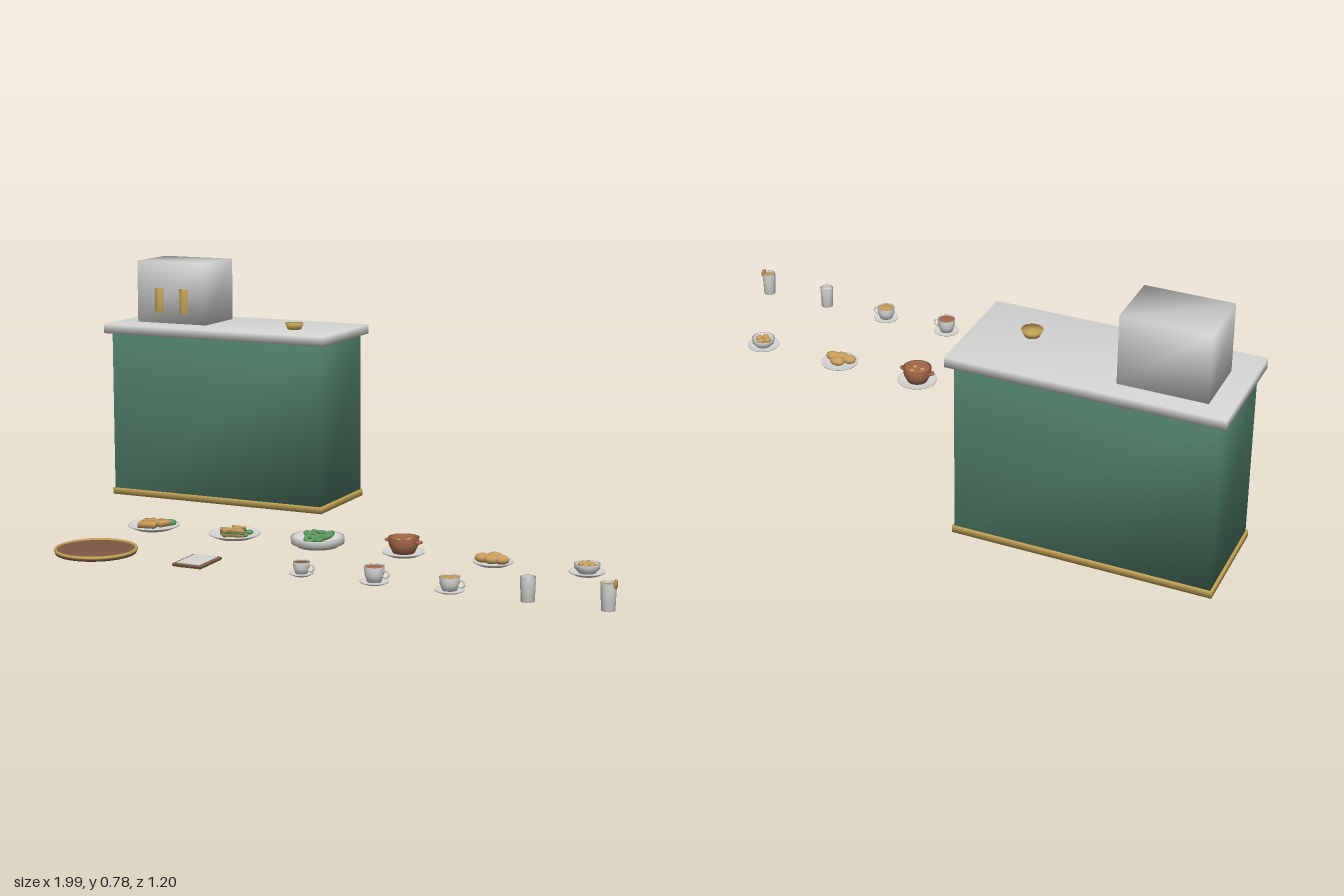
import * as THREE from 'three';
import { mergeVertices } from 'three/addons/utils/BufferGeometryUtils.js';

const mat = (name, color, side = THREE.FrontSide) => {
  const m = new THREE.MeshStandardMaterial({ color, side });
  m.name = name;
  return m;
};

export function createModel() {
  const root = new THREE.Group();
  root.name = 'cafeCounterSet';
  const green = mat('counterGreen', 0x4f7d68);
  const white = mat('porcelainWhite', 0xd6d6d4, THREE.DoubleSide);
  const brass = mat('brass', 0xc2a257);
  const wood = mat('walnut', 0x7d5a43);
  const terracotta = mat('terracotta', 0xa5694a, THREE.DoubleSide);
  const leaf = mat('leafGreen', 0x5f9c62);
  const bread = mat('toast', 0xc79d5c);

  // Welds corners so shading runs smoothly across every edge
  const soft = (geo) => {
    geo.deleteAttribute('normal');
    geo.deleteAttribute('uv');
    const g = mergeVertices(geo, 1e-5);
    g.computeVertexNormals();
    return g;
  };
  const add = (parent, name, geo, m, x = 0, y = 0, z = 0) => {
    const mesh = new THREE.Mesh(geo, m);
    mesh.name = name;
    mesh.position.set(x, y, z);
    parent.add(mesh);
    return mesh;
  };
  const box = (parent, name, m, w, h, d, x, y, z) =>
    add(parent, name, soft(new THREE.BoxGeometry(w, h, d)), m, x, y + h / 2, z);
  const drum = (parent, name, m, rt, rb, h, x, y, z, n = 24) =>
    add(parent, name, soft(new THREE.CylinderGeometry(rt, rb, h, n)), m, x, y + h / 2, z);
  const ball = (parent, name, m, r, x, y, z, sy = 1) => {
    const b = add(parent, name, new THREE.SphereGeometry(r, 14, 10), m, x, y, z);
    b.scale.y = sy;
    return b;
  };
  const lathe = (parent, name, m, pts, y = 0) =>
    add(parent, name, new THREE.LatheGeometry(pts.map(p => new THREE.Vector2(...p)), 28), m, 0, y, 0);
  const group = (name, x, z) => {
    const g = new THREE.Group();
    g.name = name;
    g.position.set(x, 0, z);
    root.add(g);
    return g;
  };
  // Shallow plate and open bowl, both with wall thickness
  const plate = (g, name, r, h = 0.014) => lathe(g, name, white,
    [[0, 0], [r * 0.7, 0], [r, h - 0.003], [r, h], [r * 0.94, h], [r * 0.68, 0.006], [0, 0.006]]);
  const bowl = (g, name, m, rt, rb, h, y) => lathe(g, name, m,
    [[0, 0], [rb, 0], [rt * 0.95, h * 0.5], [rt, h], [rt * 0.9, h], [rt * 0.82, h * 0.5], [rb * 0.8, 0.004], [0, 0.004]], y);

  // Counter
  const counter = group('counter', -0.6, -0.423);
  box(counter, 'counterBody', green, 0.76, 0.546, 0.315, 0, 0, 0);
  box(counter, 'counterBaseTrim', brass, 0.772, 0.021, 0.326, 0, 0.0005, 0);
  box(counter, 'counterTop', white, 0.8, 0.03, 0.358, 0, 0.545, 0);

  // Coffee machine with two brass handles
  const machine = group('coffeeMachine', -0.803, -0.446);
  box(machine, 'machineBody', white, 0.256, 0.204, 0.19, 0, 0.575, 0);
  for (const s of [-1, 1])
    drum(machine, 'machineHandle', brass, 0.02, 0.02, 0.08, s * 0.046, 0.611, 0.084, 16);

  // Counter bell dish
  const dish = group('brassDish', -0.37, -0.39);
  drum(dish, 'dishBowl', brass, 0.031, 0.022, 0.02, 0, 0.575, 0);

  // Toast plate
  const toast = group('toastPlate', -0.603, 0.135);
  plate(toast, 'plate', 0.08);
  box(toast, 'toastSlice', bread, 0.055, 0.016, 0.05, -0.012, 0.007, 0.012).rotation.y = 0.15;
  box(toast, 'toastSlice', bread, 0.045, 0.016, 0.04, 0.022, 0.01, -0.008).rotation.y = -0.4;
  box(toast, 'toastSlice', bread, 0.035, 0.016, 0.03, -0.024, 0.008, -0.02).rotation.y = 0.5;
  const curl = add(toast, 'herbCurl', new THREE.TorusGeometry(0.017, 0.007, 8, 18), leaf, 0.035, 0.016, -0.032);
  curl.rotation.x = Math.PI / 2;

  // Sandwich plate
  const sandwich = group('sandwichPlate', -0.32, 0.135);
  plate(sandwich, 'plate', 0.08);
  [[-0.018, 0.018, 0.2], [0.018, 0.014, 1.2], [0, -0.016, 2.1]].forEach(([x, z, a]) => {
    drum(sandwich, 'breadWedge', bread, 0.029, 0.029, 0.01, x, 0.007, z, 3).rotation.y = a;
    drum(sandwich, 'sandwichFilling', leaf, 0.03, 0.03, 0.005, x, 0.016, z, 3).rotation.y = a;
    drum(sandwich, 'breadWedge', bread, 0.028, 0.028, 0.009, x, 0.02, z, 3).rotation.y = a;
  });
  ball(sandwich, 'herb', leaf, 0.012, 0.038, 0.014, -0.025, 0.6);
  ball(sandwich, 'herb', leaf, 0.01, 0.044, 0.014, 0.015, 0.6);

  // Salad bowl
  const salad = group('saladBowl', -0.04, 0.135);
  lathe(salad, 'bowl', white,
    [[0, 0], [0.062, 0], [0.066, 0.008], [0.08, 0.01], [0.081, 0.03], [0.075, 0.03], [0.066, 0.014], [0, 0.012]]);
  for (let i = 0; i < 9; i++) {
    const a = i * 2.4, r = 0.015 * Math.sqrt(i);
    const l = add(salad, 'saladLeaf', new THREE.TorusGeometry(0.012, 0.007, 7, 12), leaf,
      r * Math.cos(a), 0.028 + 0.004 * (i % 3), r * Math.sin(a));
    l.rotation.set(Math.PI / 2 + 0.4 * Math.sin(a), 0.4 * Math.cos(a), 0);
  }

  // Soup bowl on a saucer
  const soup = group('soupBowl', 0.24, 0.135);
  plate(soup, 'saucer', 0.063, 0.012);
  bowl(soup, 'bowl', terracotta, 0.046, 0.032, 0.047, 0.008);
  drum(soup, 'soup', terracotta, 0.041, 0.038, 0.004, 0, 0.043, 0);
  [[-0.014, 0.008], [0.012, -0.012], [0.014, 0.013]].forEach(([x, z]) =>
    ball(soup, 'crouton', bread, 0.007, x, 0.047, z, 0.5));
  for (const s of [-1, 1])
    add(soup, 'bowlHandle', new THREE.TorusGeometry(0.009, 0.004, 8, 14), terracotta, s * 0.047, 0.043, 0)
      .rotation.x = Math.PI / 2;

  // Plate of rolls
  const rolls = group('rollPlate', 0.52, 0.135);
  plate(rolls, 'plate', 0.06, 0.012);
  [[-0.028, 0.01], [0.028, 0.01], [0, -0.016], [0, 0.016]].forEach(([x, z]) => {
    const b = ball(rolls, 'breadRoll', bread, 0.019, x, 0.02, z, 0.75);
    b.scale.x = 1.3;
  });

  // Dessert bowl on a saucer
  const dessert = group('dessertBowl', 0.803, 0.135);
  plate(dessert, 'saucer', 0.052, 0.011);
  bowl(dessert, 'bowl', white, 0.038, 0.024, 0.027, 0.006);
  for (let i = 0; i < 4; i++)
    ball(dessert, 'dessertScoop', bread, 0.012, 0.015 * Math.cos(i * Math.PI / 2), 0.029,
      0.015 * Math.sin(i * Math.PI / 2), 0.75);

  // Round serving tray with brass rim
  const tray = group('servingTray', -0.603, 0.478);
  drum(tray, 'trayBase', wood, 0.12, 0.12, 0.01, 0, 0, 0, 40);
  const rim = add(tray, 'trayRim', new THREE.TorusGeometry(0.119, 0.005, 8, 48), brass, 0, 0.01, 0);
  rim.rotation.x = Math.PI / 2;

  // Menu card
  const menu = group('menuCard', -0.265, 0.475);
  box(menu, 'menuBack', brass, 0.088, 0.004, 0.122, 0, 0, 0);
  box(menu, 'menuCover', wood, 0.094, 0.006, 0.13, 0, 0.003, 0);
  box(menu, 'menuPage', white, 0.074, 0.004, 0.108, 0, 0.008, 0);

  // Three cups on saucers, with different drinks
  [[0.07, 0.035, 0.024, 0.04, wood], [0.295, 0.041, 0.029, 0.05, terracotta], [0.52, 0.041, 0.029, 0.044, bread]]
    .forEach(([x, rs, rc, h, drink]) => {
      const cup = group('coffeeCup', x, 0.475);
      plate(cup, 'saucer', rs, 0.008);
      bowl(cup, 'cup', white, rc, rc * 0.7, h - 0.005, 0.005);
      drum(cup, 'drink', drink, rc * 0.89, rc * 0.8, 0.004, 0, h - 0.006, 0);
      add(cup, 'cupHandle', new THREE.TorusGeometry(0.01, 0.003, 8, 16), white, rc + 0.005, h * 0.6, 0);
    });

  // Tumblers, one with a citrus slice
  [[0.747, 0.068], [0.972, 0.076]].forEach(([x, h], i) => {
    const glass = group('tumbler', x, 0.478);
    lathe(glass, 'glass', white, [[0, 0], [0.019, 0], [0.022, h], [0.019, h], [0.017, 0.006], [0, 0.006]]);
    drum(glass, 'drink', i ? bread : white, 0.0185, 0.0175, 0.004, 0, h - 0.01, 0);
    if (i) drum(glass, 'citrusSlice', bread, 0.013, 0.013, 0.005, 0.0195, 0.07, 0, 18).rotation.z = Math.PI / 2;
  });

  return root;
}
